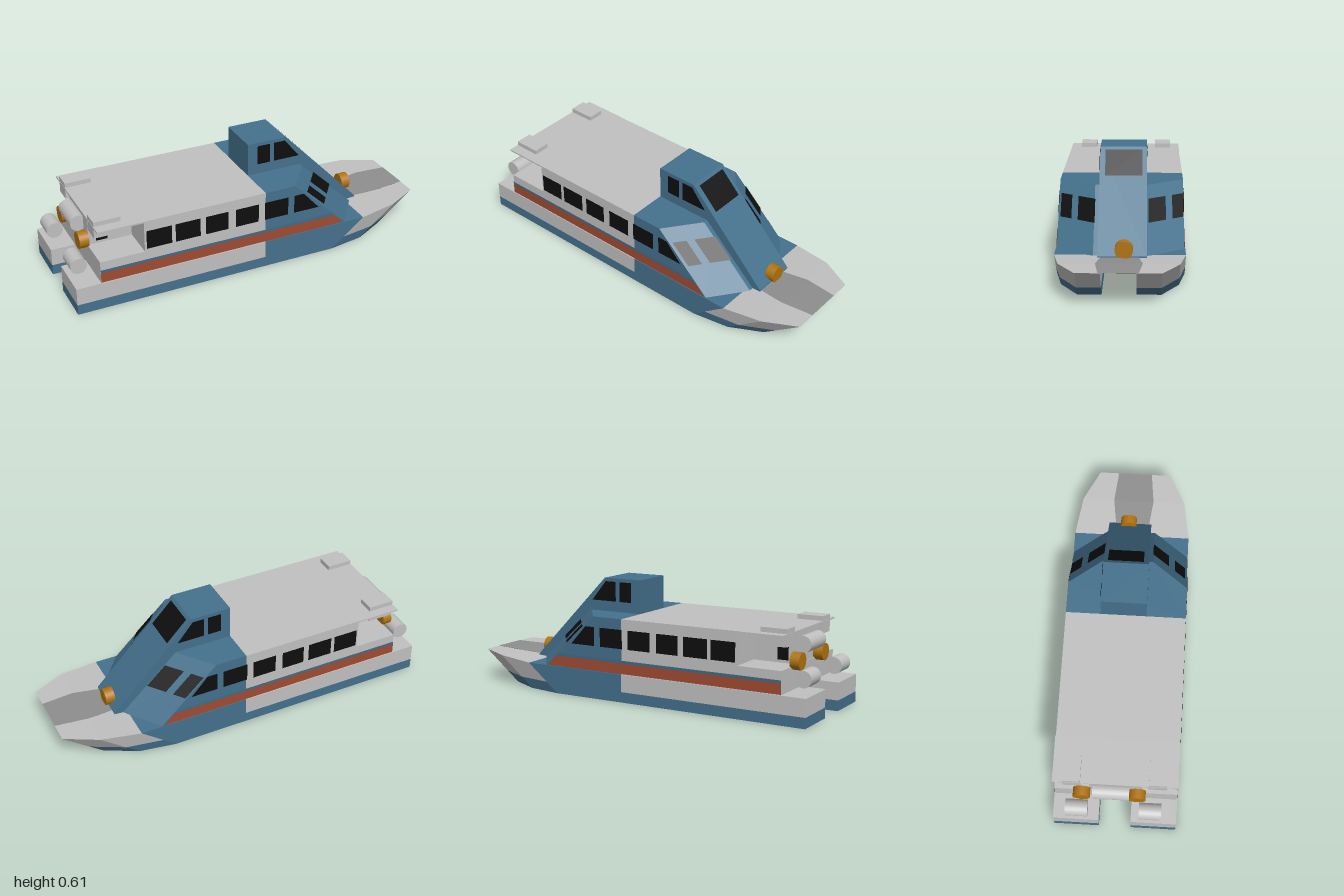
import * as THREE from 'three';
import { ConvexGeometry } from 'three/addons/geometries/ConvexGeometry.js';

export function createModel() {
  const model = new THREE.Group();
  model.name = 'catamaranFerry';

  const material = (name, color, side = THREE.FrontSide) => {
    const m = new THREE.MeshStandardMaterial({ color, side });
    m.name = name;
    return m;
  };
  const grey = material('lightGrey', 0xc0c0c0);
  const deckGrey = material('deckGrey', 0x8e8e8e);
  const blue = material('blue', 0x44708c);
  const trim = material('stripeBlue', 0x3f6a86, THREE.DoubleSide);
  const red = material('red', 0xa04a32, THREE.DoubleSide);
  const orange = material('orange', 0xb07410);
  const black = material('windowBlack', 0x0e0e0e, THREE.DoubleSide);

  const add = (name, geometry, mat) => {
    const mesh = new THREE.Mesh(geometry, mat);
    mesh.name = name;
    model.add(mesh);
    return mesh;
  };
  // Flat-sided convex block through its corner points
  const block = (name, mat, points) =>
    add(name, new ConvexGeometry(points.map((p) => new THREE.Vector3(...p))), mat);
  // Box given by its limits on each axis
  const box = (name, mat, x0, x1, y0, y1, z0, z1) => {
    const mesh = add(name, new THREE.BoxGeometry(x1 - x0, y1 - y0, z1 - z0), mat);
    mesh.position.set((x0 + x1) / 2, (y0 + y1) / 2, (z0 + z1) / 2);
  };
  // Single four-cornered face for windows and stripes
  const panel = (name, mat, corners) => {
    const g = new THREE.BufferGeometry();
    g.setAttribute('position', new THREE.Float32BufferAttribute(corners.flat(), 3));
    g.setIndex([0, 1, 2, 0, 2, 3]);
    g.computeVertexNormals();
    add(name, g, mat);
  };
  const sidePanel = (name, mat, x0, x1, y0, y1, z, x1Top = x1) =>
    panel(name, mat, [[x0, y0, z], [x1, y0, z], [x1Top, y1, z], [x0, y1, z]]);
  const drum = (name, mat, axis, radius, length, x, y, z) => {
    const g = new THREE.CylinderGeometry(radius, radius, length, 24);
    if (axis === 'x') g.rotateZ(Math.PI / 2);
    else g.rotateX(Math.PI / 2);
    add(name, g, mat).position.set(x, y, z);
  };

  // Twin hulls: raked bow stations as [deck x, deck y, outer z]
  const stations = [[0.62, 0.147, 0.32], [0.83, 0.161, 0.287], [1, 0.165, 0.2]];
  const inner = 0.083, waterline = 0.055;
  const rake = ([x, top], y) => x - 1.27 * (top - y);
  for (const s of [1, -1]) {
    const pair = (x, y, zOut) => [[x, y, s * inner], [x, y, s * zOut]];
    const atHeight = (st, y) => pair(rake(st, y), y, st[2]);
    const deckEdge = (st) => pair(st[0], st[1], st[2]);

    block('lowerHull', blue, [
      ...pair(-1, 0, 0.32), ...pair(-1, waterline, 0.32),
      ...stations.flatMap((st) => [...atHeight(st, 0), ...atHeight(st, waterline)]),
    ]);
    box('aftHull', grey, -1, 0.03, waterline, 0.147,
      Math.min(s * inner, s * 0.32), Math.max(s * inner, s * 0.32));
    block('midHull', blue, [
      ...pair(0.03, waterline, 0.32), ...pair(0.03, 0.147, 0.32),
      ...atHeight(stations[0], waterline), ...deckEdge(stations[0]),
    ]);
    block('bowHull', grey,
      stations.flatMap((st) => [...atHeight(st, waterline), ...deckEdge(st)]));
  }

  // Foredeck joining the two bows
  block('foredeck', deckGrey, [1, -1].flatMap((s) => [
    [0.63, 0.149, s * 0.085], [0.83, 0.163, s * 0.112], [1, 0.167, s * 0.094],
    [0.63, 0.142, s * 0.085], [0.96, 0.154, s * 0.085],
  ]));

  // Passenger cabin with a recessed aft section under a thin roof
  const wall = 0.315, roof = 0.435;
  box('cabin', grey, -0.635, 0.03, 0.142, roof, -wall, wall);
  box('aftBulwark', grey, -0.87, -0.635, 0.142, 0.265, -wall, wall);
  box('aftCabin', grey, -0.865, -0.635, 0.265, 0.428, -0.135, 0.135);
  box('aftRoof', grey, -0.875, -0.635, 0.427, roof, -0.318, wall);
  block('frontCabin', blue, [1, -1].flatMap((s) => [
    [0.03, 0.142, s * wall], [0.03, roof, s * wall],
    [0.2, roof, s * wall], [0.34, roof, s * 0.13],
    [0.51, 0.142, s * wall], [0.65, 0.142, s * 0.13],
  ]));

  // Cabin windows and side stripes
  const windowSpans = [[-0.625, -0.49], [-0.47, -0.335], [-0.305, -0.18], [-0.14, -0.01], [0.025, 0.16]];
  const frontX = (y, z) => 0.2 + 0.14 * (wall - Math.abs(z)) / 0.185 + 1.058 * (roof - y);
  for (const s of [1, -1]) {
    const z = s * (wall + 0.003);
    for (const [x0, x1] of windowSpans) sidePanel('cabinWindow', black, x0, x1, 0.28, 0.38, z);
    sidePanel('frontSideWindow', black, 0.195, 0.34, 0.28, 0.38, z, 0.25);
    sidePanel('aftCabinWindow', black, -0.825, -0.765, 0.28, 0.38, s * 0.138);
    sidePanel('redStripe', red, -0.87, 0.495, 0.15, 0.205, z, 0.44);
    sidePanel('blueStripe', trim, -0.87, 0.44, 0.205, 0.22, z, 0.425);
    for (const [a, b] of [[0.13, 0.217], [0.25, 0.307]]) {
      panel('cabinWindscreen', black,
        [[a, 0.277], [b, 0.277], [b, 0.375], [a, 0.375]].map(([w, y]) => {
          const wz = s * w - 0.005;
          return [frontX(y, wz) + 0.004, y + 0.003, wz + s * 0.002];
        }));
    }
  }

  // Wheelhouse with a long raked front
  const houseZ = [-0.13, 0.107];
  block('wheelhouse', blue, houseZ.flatMap((z) => [
    [0.03, 0.142, z], [0.03, 0.613, z], [0.25, 0.613, z], [0.69, 0.158, z], [0.69, 0.142, z],
  ]));
  for (const z of [houseZ[0] - 0.003, houseZ[1] + 0.003]) {
    sidePanel('wheelhouseSideWindow', black, 0.085, 0.157, 0.49, 0.595, z);
    sidePanel('wheelhouseRakedWindow', black, 0.18, 0.328, 0.49, 0.595, z, 0.243);
  }
  const rakeX = (y) => 0.25 + 0.967 * (0.613 - y) + 0.004;
  panel('wheelhouseWindscreen', black, [[0.487, 0.08], [0.487, -0.107], [0.6, -0.107], [0.6, 0.08]]
    .map(([y, z]) => [rakeX(y), y + 0.002, z]));

  // Roof lockers, stern drums and orange fittings
  box('roofLocker', grey, -0.873, -0.733, 0.37, 0.459, 0.167, 0.257);
  box('roofLocker', grey, -0.873, -0.733, 0.37, 0.459, -0.267, -0.177);
  drum('sternDrum', grey, 'z', 0.043, 0.115, -0.955, 0.222, 0.18);
  drum('sternDrum', grey, 'z', 0.043, 0.115, -0.955, 0.222, -0.197);
  drum('upperSternDrum', grey, 'z', 0.043, 0.185, -0.89, 0.362, -0.022);
  drum('sternFitting', orange, 'x', 0.044, 0.05, -0.89, 0.291, 0.11);
  drum('sternFitting', orange, 'x', 0.044, 0.05, -0.89, 0.291, -0.173);
  drum('bowFitting', orange, 'x', 0.044, 0.05, 0.682, 0.191, -0.02);

  return model;
}
